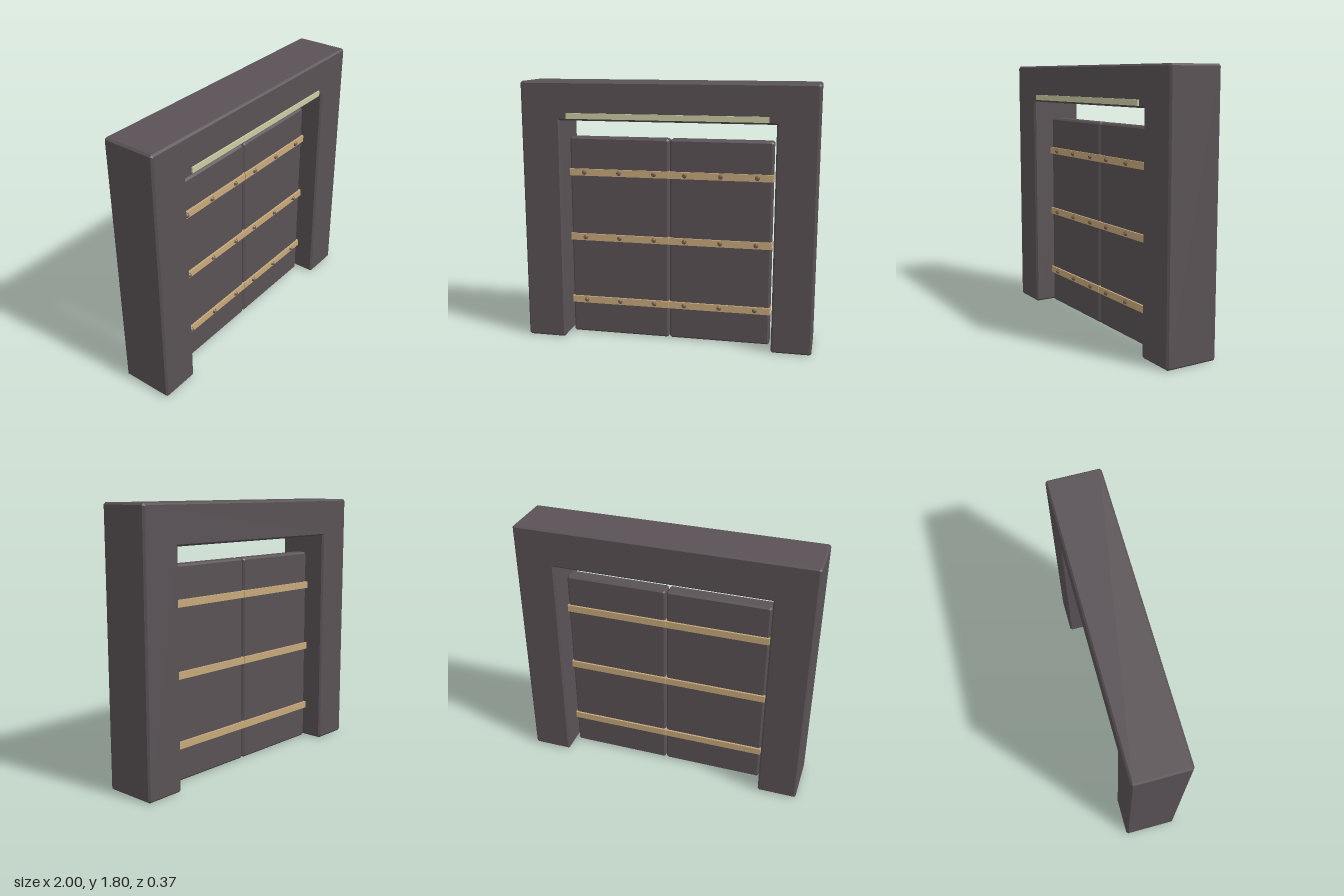
import * as THREE from 'three';

const stone = new THREE.MeshStandardMaterial({ color: 0x5a5256 });
stone.name = 'dark stone';
const brass = new THREE.MeshStandardMaterial({ color: 0xc8a97b });
brass.name = 'tan metal';
const bolt = new THREE.MeshStandardMaterial({ color: 0x72604a });
bolt.name = 'brown bolt';
const glow = new THREE.MeshStandardMaterial({ color: 0xcbcca4 });
glow.name = 'pale light';

const BEVEL = 0.012;
const MID_Z = -0.005; // middle plane of frame and doors

// Slab cut from an outline (counter-clockwise), with every outer edge chamfered
function chamferedSlab(points, depth, b = BEVEL) {
  const p = points.map(([x, y]) => new THREE.Vector2(x, y));
  const outline = [];
  p.forEach((cur, i) => {
    const toPrev = p[(i + p.length - 1) % p.length].clone().sub(cur).normalize();
    const toNext = p[(i + 1) % p.length].clone().sub(cur).normalize();
    if (toNext.cross(toPrev) > 0) {
      outline.push(cur.clone().addScaledVector(toPrev, b), cur.clone().addScaledVector(toNext, b));
    } else {
      outline.push(cur);
    }
  });
  const geo = new THREE.ExtrudeGeometry(new THREE.Shape(outline), {
    depth: depth - 2 * b, bevelEnabled: true, bevelSegments: 1,
    bevelThickness: b, bevelSize: b, bevelOffset: -b,
  });
  return geo.translate(0, 0, b - depth / 2);
}

function add(parent, name, geo, mat, x = 0, y = 0, z = 0) {
  const mesh = new THREE.Mesh(geo, mat);
  mesh.name = name;
  mesh.position.set(x, y, z);
  parent.add(mesh);
  return mesh;
}

export function createModel() {
  const model = new THREE.Group();
  model.name = 'gateway';

  // Frame: two posts joined by a lintel
  const frame = chamferedSlab([
    [-1, 0], [-0.728, 0], [-0.728, 1.54], [0.728, 1.54],
    [0.728, 0], [1, 0], [1, 1.8], [-1, 1.8],
  ], 0.365);
  add(model, 'frame', frame, stone, 0, 0, MID_Z);

  // Light strip on the front of the lintel
  add(model, 'lightStrip', new THREE.BoxGeometry(1.36, 0.038, 0.03), glow, 0, 1.572, 0.172);

  // Two door leaves, each with three straps that wrap front to back
  const leafGeo = chamferedSlab([[-0.35, 0.003], [0.35, 0.003], [0.35, 1.415], [-0.35, 1.415]], 0.1);
  const strapGeo = new THREE.BoxGeometry(0.704, 0.048, 0.126);
  const boltGeo = new THREE.CylinderGeometry(0.009, 0.018, 0.014, 8).toNonIndexed();
  boltGeo.rotateX(Math.PI / 2);
  boltGeo.computeVertexNormals();

  for (const side of [-1, 1]) {
    const door = new THREE.Group();
    door.name = side > 0 ? 'leftDoor' : 'rightDoor';
    door.position.set(side * 0.354, 0, MID_Z);
    add(door, 'doorLeaf', leafGeo, stone);
    for (const y of [0.248, 0.71, 1.172]) {
      add(door, 'strap', strapGeo, brass, 0, y, 0);
      for (const x of [-0.247, 0, 0.247]) add(door, 'bolt', boltGeo, bolt, x, y, 0.069);
    }
    model.add(door);
  }
  return model;
}
